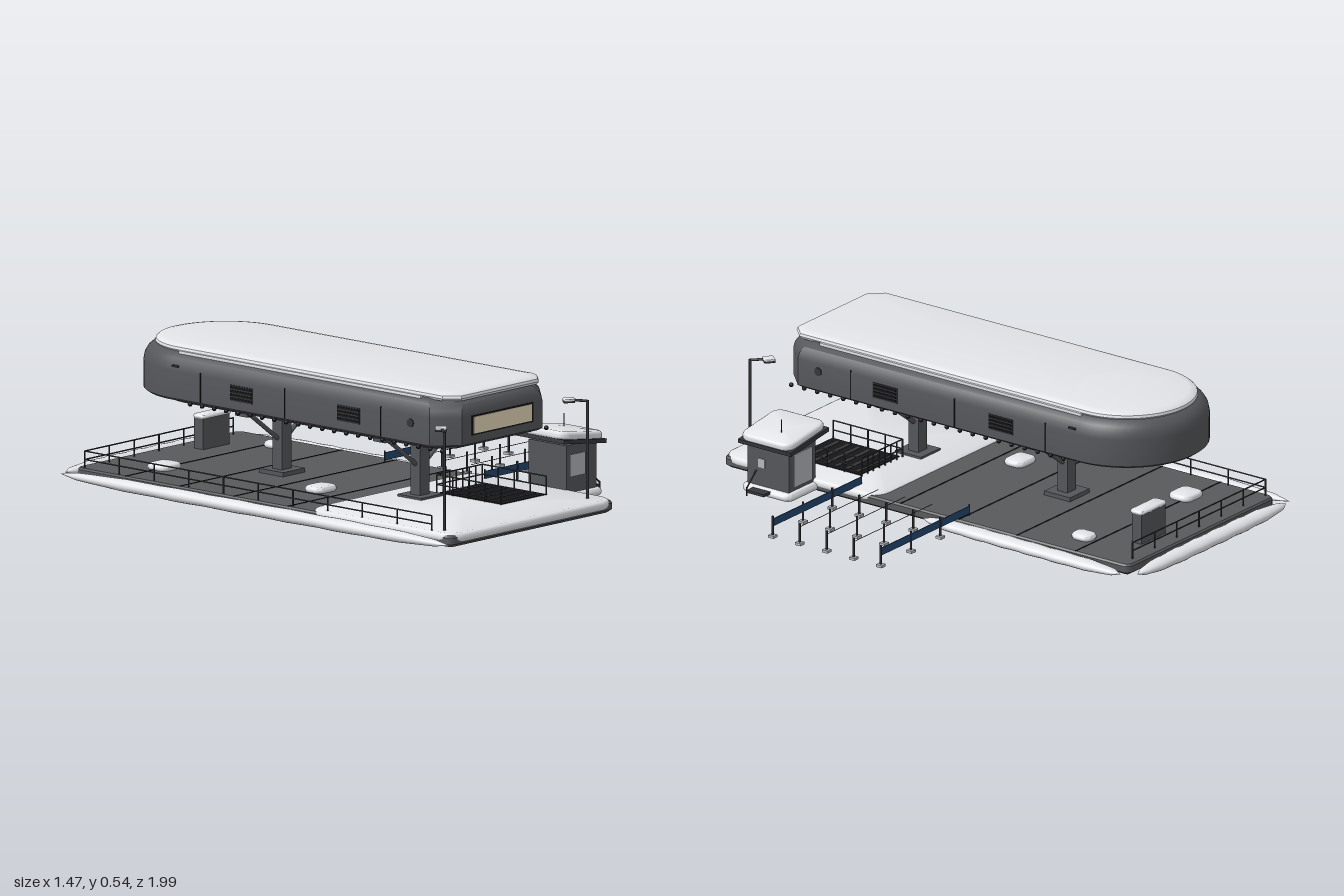
import * as THREE from 'three';
import { toCreasedNormals } from 'three/addons/utils/BufferGeometryUtils.js';

const mat = (name, color) => {
  const m = new THREE.MeshStandardMaterial({ color });
  m.name = name;
  return m;
};

export function createModel() {
  const root = new THREE.Group();
  const body = mat('charcoal body', 0x55565a), deck = mat('deck grey', 0x58595b);
  const dark = mat('dark metal', 0x36373a), black = mat('black', 0x161618);
  const snow = mat('snow', 0xeceef2), cream = mat('warm window', 0xe8dcbc);
  const glass = mat('pale glass', 0xb4b8be), blue = mat('blue banner', 0x24466f);

  const add = (name, geo, m, x = 0, y = 0, z = 0, parent = root) => {
    const mesh = new THREE.Mesh(geo, m);
    mesh.name = name;
    mesh.position.set(x, y, z);
    parent.add(mesh);
    return mesh;
  };
  // box given by its limits
  const box = (name, m, x0, x1, y0, y1, z0, z1, parent = root) =>
    add(name, new THREE.BoxGeometry(x1 - x0, y1 - y0, z1 - z0), m, (x0 + x1) / 2, (y0 + y1) / 2, (z0 + z1) / 2, parent);
  // round bar between two points
  const bar = (name, m, a, b, r, parent = root) => {
    const p = new THREE.Vector3(...a), q = new THREE.Vector3(...b), d = q.clone().sub(p);
    const mesh = add(name, new THREE.CylinderGeometry(r, r, d.length(), 8), m, 0, 0, 0, parent);
    mesh.position.copy(p).add(q).multiplyScalar(0.5);
    mesh.quaternion.setFromUnitVectors(new THREE.Vector3(0, 1, 0), d.normalize());
    return mesh;
  };
  // closed solid from plan outlines stacked as [height, inset]
  const stack = (outline, levels) => {
    const pos = [], idx = [], n = outline(0).length;
    levels.forEach(([y, d]) => outline(d).forEach(([x, z]) => pos.push(x, y, z)));
    for (let k = 0; k < levels.length - 1; k++) for (let i = 0; i < n; i++) {
      const a = k * n + i, b = k * n + (i + 1) % n;
      idx.push(a, a + n, b, b, a + n, b + n);
    }
    const top = (levels.length - 1) * n, c = pos.length / 3;
    pos.push(0, levels[0][0], 0, 0, levels[levels.length - 1][0], 0);
    for (let i = 0; i < n; i++) {
      const j = (i + 1) % n;
      idx.push(c, i, j, c + 1, top + j, top + i);
    }
    const g = new THREE.BufferGeometry();
    g.setAttribute('position', new THREE.Float32BufferAttribute(pos, 3));
    g.setIndex(idx);
    return toCreasedNormals(g, 0.6);
  };
  // hull plan: chamfered front, semicircular rear
  const hullPlan = (w, zf, zc, c) => d => {
    const r = w - d, f = zf - d;
    const pts = [[r, f - c], [r - c, f], [c - r, f], [-r, f - c]];
    for (let i = 0; i <= 28; i++) {
      const t = Math.PI * (1 + i / 28);
      pts.push([r * Math.cos(t), zc + r * Math.sin(t)]);
    }
    return pts;
  };
  const roundRect = (hw, hl, r) => d => {
    const pts = [];
    for (let k = 0; k < 4; k++) for (let i = 0; i <= 5; i++) {
      const t = (k + i / 5) * Math.PI / 2;
      const sx = k === 0 || k === 3 ? 1 : -1, sz = k < 2 ? 1 : -1;
      pts.push([sx * (hw - r) + (r - d) * Math.cos(t), sz * (hl - r) + (r - d) * Math.sin(t)]);
    }
    return pts;
  };
  const drift = (name, x, z, hw, hl, y0, y1, r = 0.03) => {
    const h = y1 - y0, e = Math.min(h * 0.4, r * 0.6);
    return add(name, stack(roundRect(hw, hl, r), [[y0, e * 0.5], [y0 + h * 0.3, 0], [y0 + h * 0.6, 0], [y0 + h * 0.88, e * 0.4], [y1, e]]), snow, x, 0, z);
  };

  // platform deck, seams and the snow cover on its front
  add('deckSlab', stack(roundRect(0.45, 0.94, 0.03), [[0.032, 0.02], [0.045, 0], [0.07, 0], [0.077, 0.006]]), deck, -0.21, 0, 0.02);
  [-0.67, -0.4, -0.13, 0.14].forEach(z => box('deckSeam', black, -0.655, 0.235, 0.076, 0.0785, z - 0.003, z + 0.003));
  drift('frontSnowCover', -0.21, 0.603, 0.453, 0.365, 0.052, 0.085, 0.07);
  drift('snowPatch', -0.455, -0.66, 0.055, 0.05, 0.076, 0.1);
  drift('snowPatch', 0.11, -0.615, 0.036, 0.045, 0.076, 0.1);
  drift('snowPatch', -0.365, 0.04, 0.055, 0.045, 0.076, 0.1);

  // tapered snow banks along the edges
  const bank = (name, length, w, h, x, z, turn) => {
    const pts = [];
    for (let i = 0; i <= 24; i++) {
      const t = i / 12 - 1;
      const r = Math.pow(Math.max(0, 1 - Math.pow(Math.abs(t), 5)), 0.6) * (0.95 + 0.05 * Math.sin(i * 1.9));
      pts.push(new THREE.Vector2(Math.max(r, 0.0001), t * length / 2));
    }
    const g = new THREE.LatheGeometry(pts, 18);
    g.scale(w / 2, 1, h / 2);
    g.rotateX(Math.PI / 2);
    add(name, g, snow, x, 0.053, z).rotation.y = turn;
  };
  bank('sideSnowBank', 1.95, 0.072, 0.05, -0.697, 0.015, 0);
  bank('sideSnowBank', 0.93, 0.076, 0.045, 0.266, -0.445, -0.02);
  bank('rearSnowBank', 0.91, 0.078, 0.05, -0.215, -0.96, Math.PI / 2);

  // raised cabin
  const cabin = new THREE.Group();
  cabin.name = 'cabin';
  cabin.position.x = -0.215;
  root.add(cabin);
  const plan = hullPlan(0.305, 0.81, -0.57, 0.085);
  add('cabinHull', stack(plan, [[0.357, 0.012], [0.366, 0], [0.47, 0], [0.495, 0.005], [0.515, 0.017], [0.53, 0.035], [0.538, 0.055]]), body, 0, 0, 0, cabin);
  add('cabinSkirt', stack(hullPlan(0.275, 0.77, -0.5, 0.07), [[0.348, 0], [0.36, 0]]), dark, 0, 0, 0, cabin);
  add('roofSnow', stack(hullPlan(0.262, 0.8, -0.57, 0.05), [[0.53, 0.006], [0.54, 0], [0.55, 0.003], [0.557, 0.012], [0.561, 0.035]]), snow, 0, 0, 0, cabin);
  const dome = add('rearSnowMound', new THREE.SphereGeometry(0.255, 36, 10, 0, Math.PI * 2, 0, Math.PI / 2), snow, 0, 0.548, -0.575, cabin);
  dome.scale.y = 0.075;
  box('frontWindow', cream, -0.16, 0.16, 0.402, 0.465, 0.81, 0.814, cabin);
  box('windowFrame', black, -0.168, 0.168, 0.396, 0.471, 0.807, 0.812, cabin);
  for (const s of [-1, 1]) {
    const side = (name, m, z0, z1, y0, y1, t = 0.002) =>
      box(name, m, s * 0.305 - t, s * 0.305 + t, y0, y1, z0, z1, cabin);
    [0.48, 0, -0.42].forEach(z => side('panelSeam', black, z - 0.002, z + 0.002, 0.368, 0.48));
    for (const z of [0.32, -0.215]) {
      side('ventFrame', dark, z - 0.056, z + 0.056, 0.398, 0.458, 0.003);
      for (let i = 0; i < 4; i++) side('ventSlat', black, z - 0.052, z + 0.052, 0.403 + i * 0.014, 0.411 + i * 0.014, 0.006);
    }
    side('sideHatch', dark, -0.56, -0.53, 0.485, 0.492, 0.004);
    add('roundPort', new THREE.CylinderGeometry(0.016, 0.016, 0.008, 20), dark, s * 0.305, 0.44, 0.63, cabin).rotation.z = Math.PI / 2;
    box('roofSnowStrip', snow, s * 0.267 - 0.005, s * 0.267 + 0.005, 0.529, 0.54, -0.56, 0.65, cabin);
    for (let i = 0; i < 22; i++)
      add('undersideLamp', new THREE.SphereGeometry(0.009, 10, 6), black, s * 0.285, 0.35, 0.77 - i * 0.06, cabin);
  }

  // support columns with cross beams and braces
  for (const z of [0.4, -0.29]) {
    const g = new THREE.Group();
    g.name = 'support';
    g.position.set(-0.215, 0, z);
    root.add(g);
    box('column', body, -0.027, 0.027, 0.078, 0.35, -0.023, 0.023, g);
    box('basePlate', body, -0.06, 0.06, 0.076, 0.093, -0.06, 0.06, g);
    box('crossBeam', body, -0.225, 0.225, 0.322, 0.35, -0.03, 0.03, g);
    for (const s of [-1, 1]) bar('brace', body, [s * 0.18, 0.325, 0], [s * 0.025, 0.21, 0], 0.009, g);
  }

  // rear cabinet with snow on it
  box('cabinet', body, -0.11, 0.035, 0.076, 0.195, -0.825, -0.78);
  drift('cabinetSnow', -0.037, -0.802, 0.079, 0.03, 0.193, 0.208, 0.015);

  // railings
  const railing = (name, a, b, y0, h, n, r = 0.003) => {
    const g = new THREE.Group();
    g.name = name;
    root.add(g);
    const at = (t, y) => [a[0] + (b[0] - a[0]) * t, y, a[1] + (b[1] - a[1]) * t];
    for (let i = 0; i <= n; i++) bar('railPost', dark, at(i / n, y0), at(i / n, y0 + h), r, g);
    for (const f of [0.5, 1]) bar('rail', dark, at(0, y0 + h * f), at(1, y0 + h * f), r * 0.9, g);
  };
  railing('sideRailing', [-0.645, 0.85], [-0.645, -0.885], 0.076, 0.064, 10);
  railing('rearRailing', [-0.645, -0.885], [0.17, -0.885], 0.076, 0.064, 6);

  // stairwell
  box('stairwell', black, -0.13, 0.112, 0.082, 0.088, 0.42, 0.73);
  for (let i = 0; i < 6; i++) box('stairTread', dark, -0.11, 0.095, 0.087, 0.0895, 0.44 + i * 0.048, 0.455 + i * 0.048);
  railing('stairRailing', [-0.135, 0.41], [0.115, 0.41], 0.08, 0.075, 7);
  railing('stairRailing', [-0.135, 0.41], [-0.135, 0.73], 0.08, 0.075, 4);
  railing('stairRailing', [0.115, 0.41], [0.115, 0.73], 0.08, 0.075, 4);

  // lamp posts
  for (const [x, s] of [[-0.615, 1], [0.17, -1]]) {
    bar('lampPost', dark, [x, 0.08, 0.885], [x, 0.455, 0.885], 0.0055);
    bar('lampArm', dark, [x, 0.452, 0.885], [x + s * 0.035, 0.455, 0.84], 0.005);
    box('lampHead', dark, -0.021, 0.021, 0.447, 0.454, -0.021, 0.021).position.set(x + s * 0.042, 0.45, 0.83);
    const cap = drift('lampSnow', x + s * 0.042, 0.83, 0.022, 0.022, 0.453, 0.461, 0.008);
    cap.rotation.y = root.children[root.children.length - 2].rotation.y = s * 0.7;
  }

  // ticket kiosk
  drift('kioskBase', 0.308, 0.635, 0.105, 0.115, 0.043, 0.072);
  box('kioskBody', body, 0.225, 0.39, 0.068, 0.252, 0.54, 0.73);
  box('kioskWindow', glass, 0.242, 0.326, 0.132, 0.216, 0.73, 0.734);
  box('kioskRearPanel', glass, 0.25, 0.36, 0.085, 0.215, 0.536, 0.54);
  box('kioskSideWindow', glass, 0.39, 0.394, 0.145, 0.18, 0.65, 0.68);
  box('kioskStep', dark, 0.41, 0.45, 0.058, 0.068, 0.61, 0.69);
  bar('stepRail', dark, [0.39, 0.13, 0.69], [0.45, 0.075, 0.69], 0.003);
  bar('stepPost', dark, [0.45, 0.045, 0.69], [0.45, 0.08, 0.69], 0.003);
  const roof = new THREE.Group();
  roof.name = 'kioskRoof';
  roof.position.set(0.31, 0.262, 0.625);
  roof.rotation.z = -0.13;
  root.add(roof);
  box('roofPanel', dark, -0.118, 0.118, -0.012, 0.004, -0.122, 0.122, roof);
  roof.add(drift('kioskSnow', 0, 0, 0.12, 0.118, 0.002, 0.032, 0.04));
  bar('antenna', dark, [0.355, 0.27, 0.6], [0.355, 0.338, 0.6], 0.002);

  // queue posts, ropes and banners
  [-0.135, -0.01, 0.115, 0.24, 0.365].forEach((z, i) => {
    [0.355, 0.535, 0.72].forEach(x => {
      box('queueBase', glass, x - 0.013, x + 0.013, 0.04, 0.05, z - 0.013, z + 0.013);
      bar('queuePost', dark, [x, 0.045, z], [x, 0.124, z], 0.004);
    });
    if (i % 4 === 0) {
      box('queueBanner', blue, 0.178, 0.72, 0.084, 0.113, z - 0.002, z + 0.002);
      bar('bannerPost', dark, [0.178, 0.07, z], [0.178, 0.12, z], 0.003);
    } else bar('queueRope', dark, [0.24, 0.11, z], [0.72, 0.11, z], 0.0013);
  });
  return root;
}
